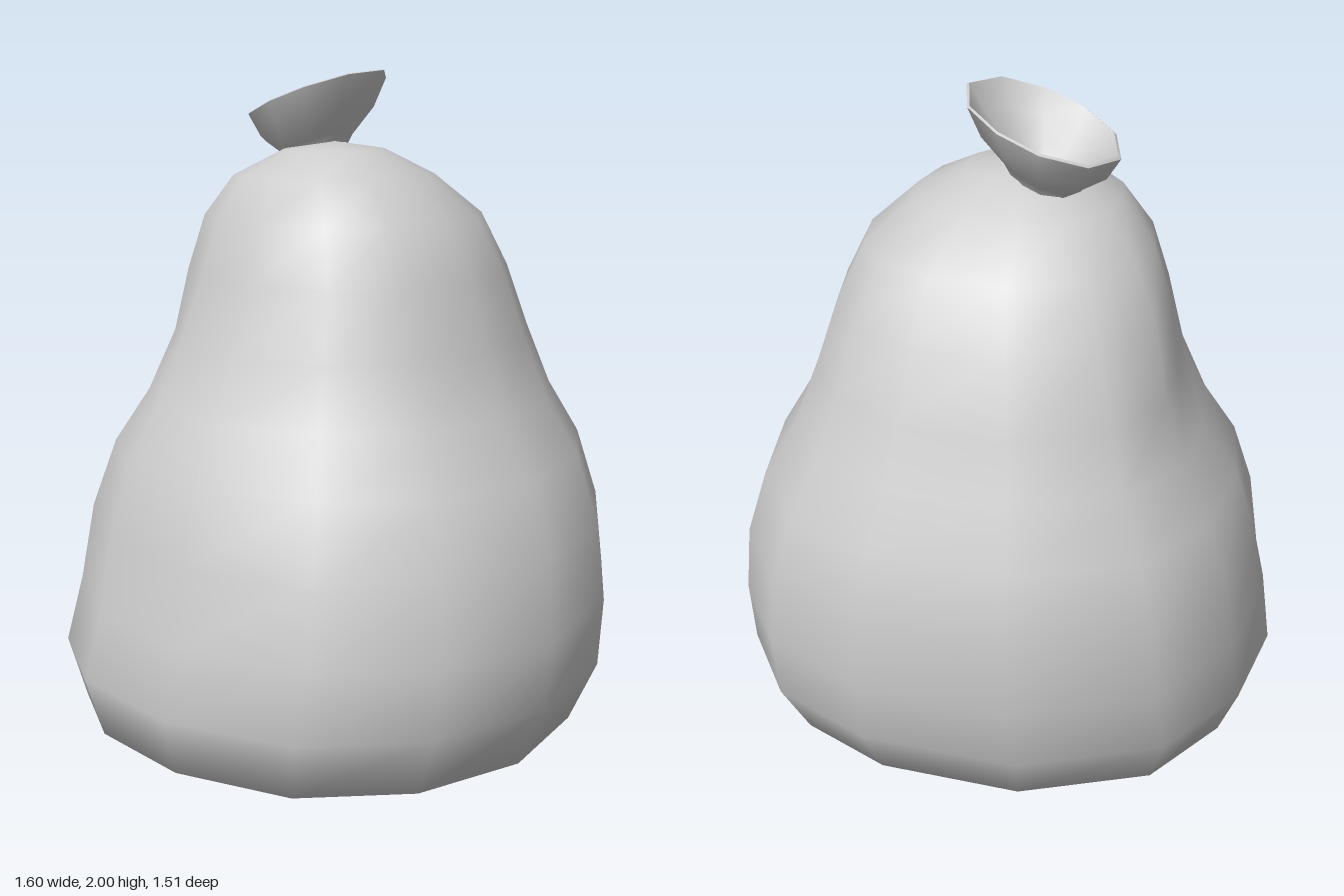
import * as THREE from 'three';
import { mergeVertices } from 'three/addons/utils/BufferGeometryUtils.js';

// Skin a stack of closed rings; point(ring, j) gives each corner.
function skin(rings, sides, point) {
  const pos = [], index = [];
  rings.forEach((ring, i) => {
    for (let j = 0; j < sides; j++) {
      pos.push(...point(ring, j));
      if (i === rings.length - 1) continue;
      const k = (j + 1) % sides, a = i * sides + j, b = i * sides + k;
      index.push(a, a + sides, b, b, a + sides, b + sides);
    }
  });
  const raw = new THREE.BufferGeometry();
  raw.setAttribute('position', new THREE.Float32BufferAttribute(pos, 3));
  raw.setIndex(index);
  const g = mergeVertices(raw, 1e-5);
  g.computeVertexNormals();
  return g;
}

// Sack cross-sections: height, x min, x max, z min, z max
const SACK = [
  [0.00, -0.03, -0.03, 0.00, 0.00],
  [0.025, -0.31, 0.23, -0.23, 0.25],
  [0.10, -0.57, 0.50, -0.48, 0.50],
  [0.20, -0.75, 0.71, -0.66, 0.70],
  [0.37, -0.80, 0.79, -0.74, 0.76],
  [0.56, -0.75, 0.80, -0.76, 0.76],
  [0.77, -0.71, 0.78, -0.76, 0.71],
  [0.96, -0.64, 0.72, -0.71, 0.63],
  [1.11, -0.55, 0.63, -0.63, 0.53],
  [1.28, -0.48, 0.56, -0.57, 0.46],
  [1.46, -0.42, 0.49, -0.49, 0.42],
  [1.61, -0.37, 0.41, -0.40, 0.35],
  [1.72, -0.29, 0.27, -0.28, 0.26],
  [1.79, -0.15, 0.13, -0.15, 0.12],
  [1.81, -0.01, -0.01, -0.02, -0.02],
];
// Uneven corners around the sack: angle in degrees, radius factor
const CORNERS = [
  [0, 1], [25.5, 0.975], [53, 0.985], [79, 0.99], [105, 0.985], [133, 0.96], [160, 0.98],
  [184, 1.005], [207.5, 0.985], [230, 1], [253, 1.015], [283, 0.965], [316, 0.965], [339, 1.01],
];
// Soft bulges and dents: angle, angular width, height, height spread, amount
const BULGES = [
  [135, 25, 1.13, 0.27, 0.09],
  [228, 24, 1.50, 0.16, 0.06],
  [200, 20, 1.24, 0.16, -0.08],
];

function sackPoint([y, x0, x1, z0, z1], j) {
  const [deg, factor] = CORNERS[j];
  const a = THREE.MathUtils.degToRad(deg);
  let s = factor;
  for (const [at, width, height, spread, amount] of BULGES) {
    s += amount * Math.exp(-(((deg - at) / width) ** 2) - ((y - height) / spread) ** 2);
  }
  return [
    (x0 + x1) / 2 + ((x1 - x0) / 2) * Math.cos(a) * s,
    y,
    (z0 + z1) / 2 + ((z1 - z0) / 2) * Math.sin(a) * s * 1.026,
  ];
}

// Tilted flaring ring of the tied neck: radius, centre height
const NECK_SIDES = 10;
function neckPoint([r, y], j) {
  const a = (j / NECK_SIDES) * Math.PI * 2;
  const s = r * (1 + 0.08 * Math.sin(2 * a));
  const x = s * Math.cos(a), z = s * Math.sin(a) * 1.05;
  return [-0.048 + x, y + 0.25 * x + 0.22 * z, -0.11 + z];
}

export function createModel() {
  const model = new THREE.Group();
  const cloth = new THREE.MeshStandardMaterial({ color: 0xcccccc });
  cloth.name = 'grey cloth';

  const add = (name, geometry) => {
    const mesh = new THREE.Mesh(geometry, cloth);
    mesh.name = name;
    model.add(mesh);
  };

  add('sack', skin(SACK, CORNERS.length, sackPoint));

  // Tied neck: flared outside, thin lip, hollow inside
  const neck = {
    neckOutside: [[0.085, 1.775], [0.1, 1.8], [0.16, 1.86], [0.194, 1.93]],
    neckLip: [[0.194, 1.93], [0.187, 1.934]],
    neckInside: [[0.187, 1.934], [0.145, 1.88], [0.095, 1.83], [0.065, 1.8]],
  };
  for (const [name, rings] of Object.entries(neck)) add(name, skin(rings, NECK_SIDES, neckPoint));

  return model;
}
